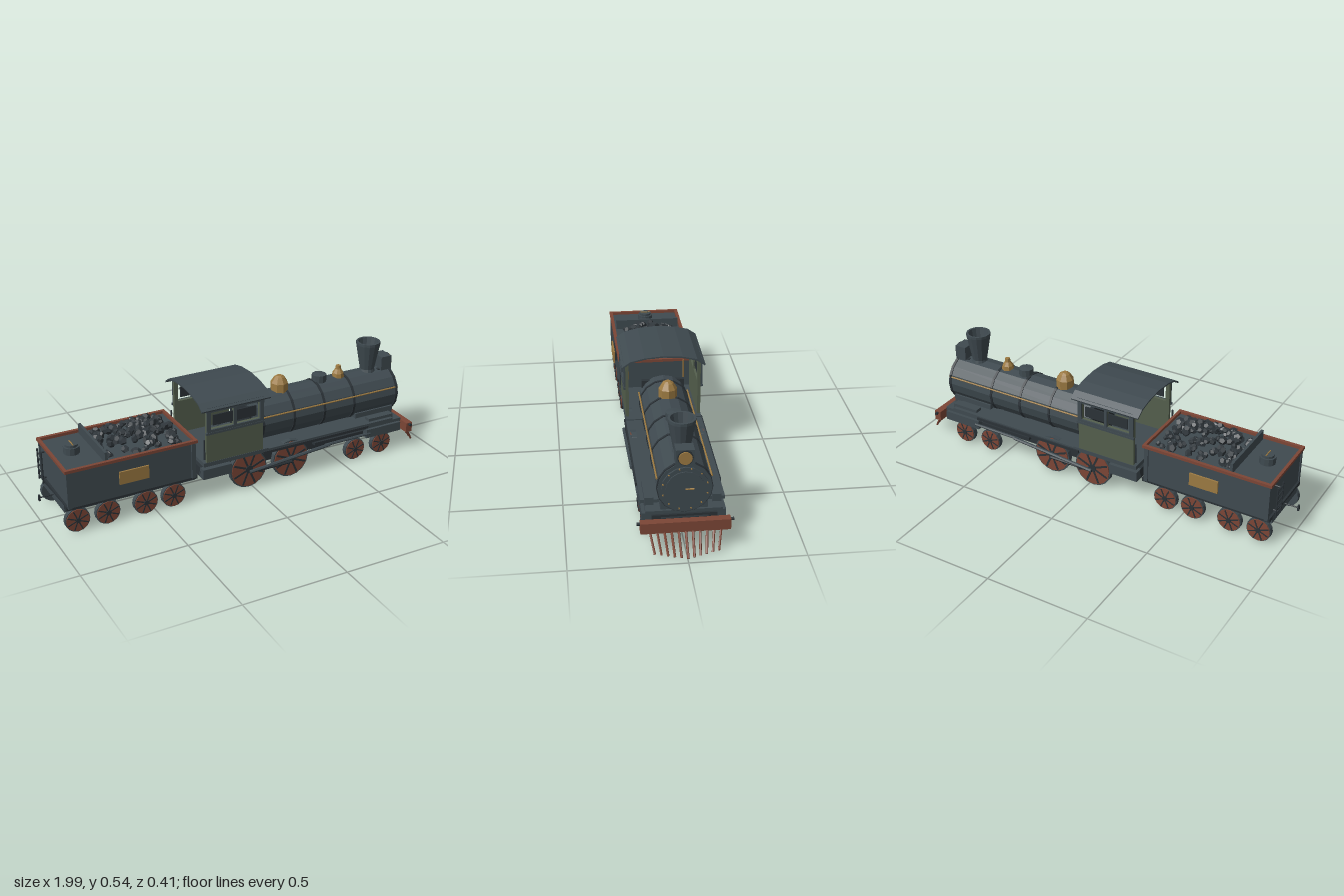
import * as THREE from 'three';

const mat = (name, color) => {
  const m = new THREE.MeshStandardMaterial({ color, flatShading: true });
  m.name = name;
  return m;
};

export function createModel() {
  const slate = mat('slate paint', 0x3f4a50);
  const dark = mat('dark iron', 0x2b3237);
  const coalBlack = mat('coal', 0x30373c);
  const red = mat('oxide red', 0x7c4636);
  const brass = mat('brass', 0x9c7a42);
  const green = mat('cab green', 0x545f4d);
  const model = new THREE.Group();
  model.name = 'steamTrain';

  const add = (name, geo, m, x = 0, y = 0, z = 0, parent = model) => {
    const mesh = new THREE.Mesh(geo, m);
    mesh.name = name;
    mesh.position.set(x, y, z);
    parent.add(mesh);
    return mesh;
  };
  // Box given by its limits
  const box = (name, m, x0, x1, y0, y1, z0, z1) =>
    add(name, new THREE.BoxGeometry(x1 - x0, y1 - y0, z1 - z0), m, (x0 + x1) / 2, (y0 + y1) / 2, (z0 + z1) / 2);
  // Round bar between two points
  const bar = (name, m, a, b, r, sides = 6) => {
    const p = new THREE.Vector3(...a), q = new THREE.Vector3(...b);
    const mesh = add(name, new THREE.CylinderGeometry(r, r, p.distanceTo(q), sides), m);
    mesh.position.copy(p).lerp(q, 0.5);
    mesh.quaternion.setFromUnitVectors(new THREE.Vector3(0, 1, 0), q.sub(p).normalize());
    return mesh;
  };
  const lathe = (name, m, pts, x, y, sides) =>
    add(name, new THREE.LatheGeometry(pts.map(p => new THREE.Vector2(...p)), sides), m, x, y, 0);

  // Wheel with a red outer face, dark tyre, spokes and hub
  const wheel = (name, x, r, s) => {
    const g = new THREE.Group();
    g.name = name;
    g.position.set(x, r, s * 0.155);
    if (s < 0) g.rotation.y = Math.PI;
    model.add(g);
    const disc = (n, rad, depth, m, z) => {
      add(n, new THREE.CylinderGeometry(rad, rad, depth, 16), m, 0, 0, z, g).rotation.x = Math.PI / 2;
    };
    disc('tyre', r, 0.024, slate, 0);
    disc('wheelFace', r * 0.93, 0.006, red, 0.013);
    disc('hub', r * 0.2, 0.014, dark, 0.014);
    for (let i = 0; i < 4; i++) {
      add('spoke', new THREE.BoxGeometry(r * 1.76, r * 0.1, 0.006), dark, 0, 0, 0.015, g).rotation.z = i * Math.PI / 4 + Math.PI / 8;
    }
  };

  // ---- Locomotive chassis ----
  box('mainFrame', dark, -0.26, 0.86, 0.1, 0.15, -0.138, 0.138);
  box('frontDeck', slate, 0.58, 0.85, 0.145, 0.165, -0.163, 0.163);
  box('smokeboxSaddle', slate, 0.62, 0.84, 0.16, 0.21, -0.1, 0.1);
  box('cabFloor', slate, -0.26, 0.08, 0.17, 0.19, -0.18, 0.18);
  for (const s of [1, -1]) {
    const lim = (a, b) => (s > 0 ? [a, b] : [-b, -a]);
    box('runningBoard', slate, 0.05, 0.79, 0.17, 0.185, ...lim(0.07, 0.18));
    box('runningBoardEdge', dark, 0.05, 0.64, 0.165, 0.178, ...lim(0.18, 0.187));
    box('rearSideFrame', slate, -0.26, -0.11, 0.1, 0.15, ...lim(0.13, 0.172));
    box('cylinderBlock', slate, 0.64, 0.84, 0.105, 0.15, ...lim(0.13, 0.178));
    box('valveChest', slate, 0.66, 0.8, 0.15, 0.2, ...lim(0.125, 0.163));
    box('slideBar', dark, 0.34, 0.62, 0.135, 0.15, ...lim(0.15, 0.175));
    bar('pistonRod', slate, [0.4, 0.125, s * 0.176], [0.66, 0.128, s * 0.176], 0.007);
    bar('mainRod', slate, [-0.02, 0.088, s * 0.184], [0.42, 0.127, s * 0.184], 0.008);
    bar('couplingRod', dark, [-0.02, 0.085, s * 0.178], [0.21, 0.085, s * 0.178], 0.008);
    [-0.02, 0.21].forEach(x => wheel('driveWheel', x, 0.097, s));
    [0.58, 0.735].forEach(x => wheel('leadingWheel', x, 0.056, s));
    [-0.88, -0.735, -0.55, -0.41].forEach(x => wheel('tenderWheel', x, 0.059, s));
  }

  // ---- Boiler along the x axis ----
  const drum = (name, m, x0, x1, r, sides = 16) => bar(name, m, [x0, 0.277, 0], [x1, 0.277, 0], r, sides);
  drum('boiler', slate, 0.03, 0.86, 0.115);
  [0.09, 0.26, 0.43, 0.6, 0.85].forEach(x => drum('boilerBand', dark, x - 0.006, x + 0.006, 0.119));
  drum('smokeboxDoor', slate, 0.855, 0.868, 0.1);
  drum('smokeboxDoorPanel', slate, 0.86, 0.873, 0.082);
  for (let i = 0; i < 12; i++) {
    const a = (i + 0.5) * Math.PI / 6, y = 0.277 + 0.096 * Math.sin(a), z = 0.096 * Math.cos(a);
    bar('doorRivet', brass, [0.866, y, z], [0.872, y, z], 0.0035);
  }
  bar('doorHandle', brass, [0.878, 0.28, 0], [0.878, 0.28, -0.036], 0.004);
  for (const s of [1, -1]) bar('boilerHandrail', brass, [0.05, 0.316, s * 0.115], [0.84, 0.316, s * 0.115], 0.004);

  // Domes, chimney and lamp
  lathe('steamDome', brass, [[0.043, 0], [0.043, 0.045], [0.026, 0.072], [0.014, 0.08], [0, 0.08]], 0.237, 0.382, 8);
  lathe('sandBox', slate, [[0.036, 0], [0.036, 0.044], [0, 0.048]], 0.462, 0.378, 12);
  lathe('bell', brass, [[0.031, 0], [0.028, 0.025], [0.015, 0.045], [0.012, 0.063], [0, 0.063]], 0.572, 0.383, 8);
  lathe('chimney', slate, [[0.042, 0], [0.036, 0.02], [0.06, 0.15], [0.06, 0.163], [0.05, 0.163], [0.034, 0.08], [0, 0.08]], 0.743, 0.379, 14);
  box('lampBracket', dark, 0.79, 0.85, 0.37, 0.39, -0.03, 0.03);
  box('lampHousing', slate, 0.803, 0.862, 0.383, 0.455, -0.039, 0.039);
  bar('lampRim', dark, [0.855, 0.421, 0], [0.867, 0.421, 0], 0.034, 14);
  bar('lampGlass', brass, [0.86, 0.421, 0], [0.872, 0.421, 0], 0.029, 14);

  // ---- Pilot beam and cowcatcher ----
  box('pilotBeam', red, 0.87, 0.905, 0.09, 0.139, -0.19, 0.19);
  box('beamSupport', dark, 0.84, 0.872, 0.1, 0.14, -0.1, 0.1);
  bar('beamPin', dark, [0.888, 0.131, -0.204], [0.888, 0.131, 0.204], 0.007, 8);
  for (let i = -5; i <= 5; i++) {
    bar('cowcatcherBar', red, [0.895, 0.097, i * 0.03], [0.99 - Math.abs(i) * 0.009, 0.014, i * 0.0268], 0.0055);
  }

  // ---- Cab ----
  const windowWall = (depth, x0, x1, y0, y1) => {
    const rect = (T, a, b, c, d) => {
      const p = new T();
      p.moveTo(a, c); p.lineTo(b, c); p.lineTo(b, d); p.lineTo(a, d); p.closePath();
      return p;
    };
    const shape = rect(THREE.Shape, x0, x1, y0, y1);
    [[-0.225, -0.107], [-0.092, 0.03]].forEach(([a, b]) => shape.holes.push(rect(THREE.Path, a, b, 0.358, 0.445)));
    return new THREE.ExtrudeGeometry(shape, { depth, bevelEnabled: false });
  };
  for (const s of [1, -1]) {
    add('cabSide', windowWall(0.015, -0.245, 0.05, 0.185, 0.47), green, 0, 0, s > 0 ? 0.163 : -0.178);
    add('windowSurround', windowWall(0.008, -0.245, 0.05, 0.34, 0.47), slate, 0, 0, s > 0 ? 0.178 : -0.186);
    for (const [a, b] of [[-0.21, -0.107], [-0.092, 0.015]]) {
      box('windowPane', dark, a, b, 0.373, 0.425, s * 0.172 - 0.003, s * 0.172 + 0.003);
    }
    box('windowSill', slate, -0.25, 0.055, 0.335, 0.345, s * 0.183 - 0.005, s * 0.183 + 0.005);
    bar('cabHandrail', dark, [-0.257, 0.21, s * 0.178], [-0.257, 0.31, s * 0.178], 0.004);
  }
  box('backhead', dark, 0.02, 0.04, 0.18, 0.37, -0.1, 0.1);

  // Arched roof
  const arc = [[-0.196, 0.462], [-0.157, 0.489], [-0.09, 0.505], [0, 0.512], [0.09, 0.505], [0.157, 0.489], [0.196, 0.462]];
  const roof = new THREE.Shape();
  arc.forEach(([z, y], i) => (i ? roof.lineTo(z, y) : roof.moveTo(z, y)));
  [...arc].reverse().forEach(([z, y]) => roof.lineTo(z * 0.985, y - 0.007));
  roof.closePath();
  add('cabRoof', new THREE.ExtrudeGeometry(roof, { depth: 0.355, bevelEnabled: false }), slate, -0.275).rotation.y = Math.PI / 2;

  // ---- Tender ----
  box('tenderFrame', slate, -0.93, -0.29, 0.095, 0.135, -0.14, 0.14);
  box('tenderSole', dark, -0.93, -0.29, 0.118, 0.138, -0.172, 0.172);
  box('tenderBody', slate, -0.92, -0.305, 0.13, 0.308, -0.175, 0.175);
  for (const s of [1, -1]) {
    box('tenderTrim', red, -0.932, -0.292, 0.308, 0.322, s * 0.177 - 0.008, s * 0.177 + 0.008);
    box('tenderEndTrim', red, s > 0 ? -0.306 : -0.932, s > 0 ? -0.292 : -0.918, 0.308, 0.322, -0.17, 0.17);
    [-0.915, -0.312].forEach(x => box('tenderCorner', slate, x - 0.01, x + 0.01, 0.13, 0.308, s * 0.175 - 0.007, s * 0.175 + 0.007));
    box('nameplate', brass, -0.682, -0.54, 0.197, 0.26, s * 0.19 - 0.004, s * 0.19 + 0.004);
    box('nameplateBack', dark, -0.67, -0.55, 0.205, 0.252, s * 0.18 - 0.008, s * 0.18 + 0.008);
    bar('tenderGrabRail', brass, [-0.29, 0.22, s * 0.139], [-0.29, 0.315, s * 0.139], 0.004);
  }
  box('coalBulkhead', slate, -0.735, -0.722, 0.3, 0.357, -0.163, 0.163);
  bar('waterHatch', slate, [-0.83, 0.3, 0], [-0.83, 0.342, 0], 0.038, 12);
  bar('hatchLid', slate, [-0.83, 0.342, 0], [-0.83, 0.353, 0], 0.03, 12);
  bar('hatchHandle', brass, [-0.83, 0.355, -0.025], [-0.83, 0.355, 0.025], 0.003);

  // Ladder and coupling at the tender's rear
  [-0.14, -0.085].forEach(z => bar('ladderRail', dark, [-0.945, 0.135, z], [-0.945, 0.29, z], 0.004));
  for (let i = 0; i < 5; i++) bar('ladderRung', dark, [-0.945, 0.155 + i * 0.03, -0.14], [-0.945, 0.155 + i * 0.03, -0.085], 0.003);
  [0.15, 0.28].forEach(y => bar('ladderBracket', dark, [-0.945, y, -0.112], [-0.915, y, -0.112], 0.004));
  bar('drawHook', dark, [-0.998, 0.118, 0], [-0.925, 0.118, 0], 0.003);
  box('couplingLink', dark, -1, -0.992, 0.104, 0.132, -0.006, 0.006);
  box('drawbar', dark, -0.3, -0.25, 0.11, 0.125, -0.02, 0.02);

  // Heap of coal lumps
  let seed = 7;
  const rnd = () => (seed = (seed * 16807) % 2147483647) / 2147483647;
  const lump = new THREE.DodecahedronGeometry(1);
  const heap = new THREE.Group();
  heap.name = 'coalHeap';
  model.add(heap);
  for (let i = 0; i < 130; i++) {
    const u = rnd() * 2 - 1, v = rnd() * 2 - 1, r = 0.013 + rnd() * 0.011;
    const top = 0.32 + 0.065 * (1 - u * u * u * u) * (1 - v * v);
    const m = add('coalLump', lump, coalBlack, -0.522 + u * 0.18, top - rnd() * 0.02, v * 0.135, heap);
    m.scale.set(r * 1.2, r * 0.8, r);
    m.rotation.set(rnd() * 3, rnd() * 3, rnd() * 3);
  }
  return model;
}
